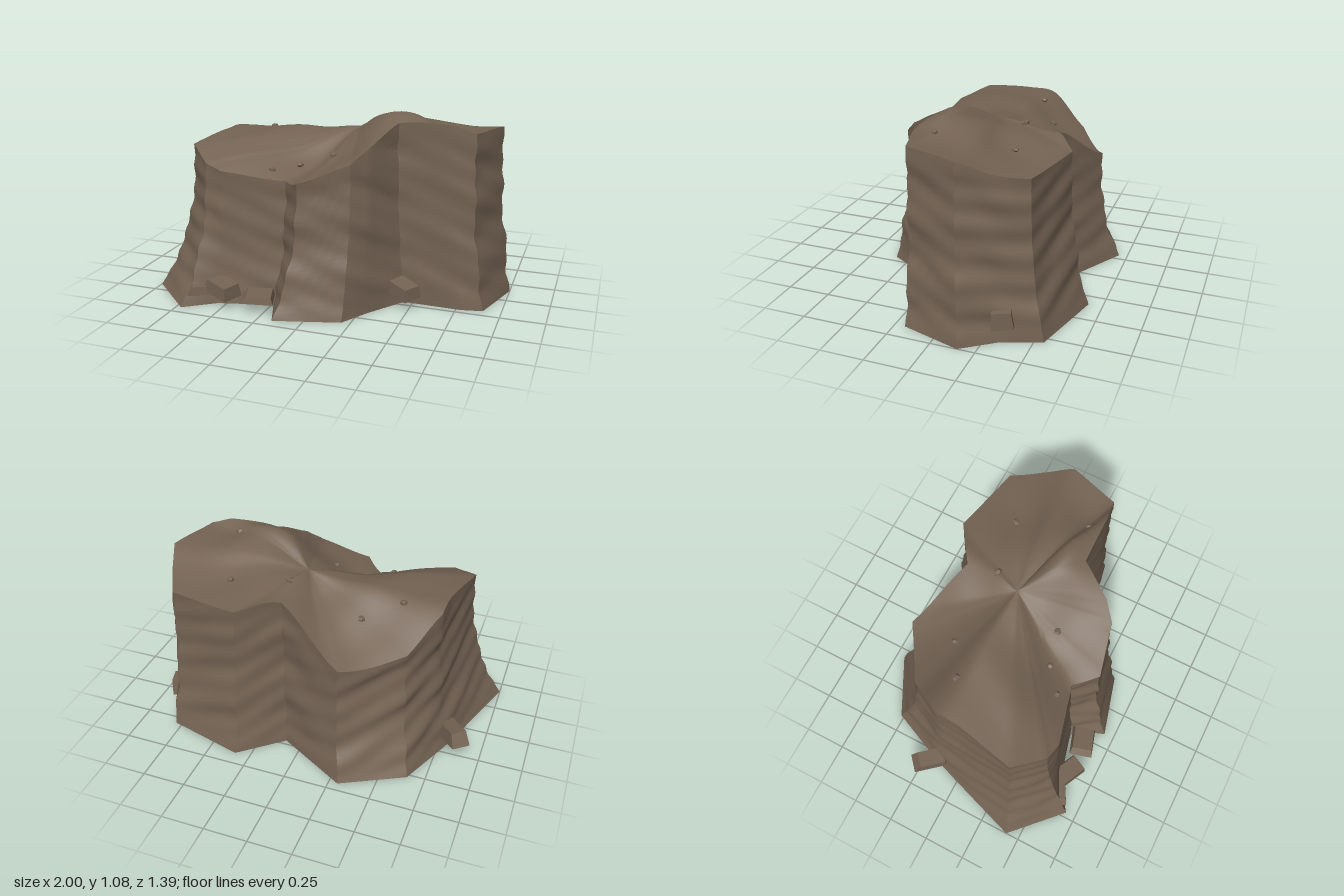
import * as THREE from 'three';
import { toCreasedNormals } from 'three/addons/utils/BufferGeometryUtils.js';

// Outline corners: base x, base z, rim x, rim z, rim height
const CORNERS = [
  [0.90, 0.19, 0.82, 0.18, 1.0], [0.78, 0.215, 0.69, 0.195, 1.04],
  [0.45, 0.21, 0.40, 0.2, 1.035], [0.30, 0.42, 0.29, 0.39, 0.93],
  [0.20, 0.59, 0.21, 0.47, 0.85], [-0.165, 0.69, -0.07, 0.54, 0.74],
  [-0.24, 0.49, -0.18, 0.42, 0.715], [-0.55, 0.57, -0.53, 0.51, 0.765],
  [-0.72, 0.69, -0.63, 0.49, 0.8], [-1.0, 0.42, -0.78, 0.34, 0.865],
  [-0.85, -0.03, -0.71, 0.0, 0.9], [-0.79, -0.2, -0.70, -0.15, 0.88],
  [-0.65, -0.52, -0.57, -0.37, 0.72], [-0.30, -0.70, -0.25, -0.575, 0.68],
  [0.10, -0.47, 0.13, -0.40, 0.92], [0.34, -0.67, 0.35, -0.55, 0.9],
  [0.79, -0.55, 0.76, -0.46, 0.89], [0.87, -0.33, 0.85, -0.29, 0.92],
  [1.0, -0.15, 0.92, -0.12, 0.99],
];
const CENTRE = [0.1, 0.95, -0.07];
const STEPS = 6;
const COLS = CORNERS.length * STEPS;
const lerp = THREE.MathUtils.lerp;

// Straight edges between corners, with a smoothly curving rim height
function outline(i) {
  const n = CORNERS.length;
  const k = Math.floor(i / STEPS), t = (i % STEPS) / STEPS;
  const at = (o) => CORNERS[(k + o + n) % n];
  const data = at(0).map((v, j) => lerp(v, at(1)[j], t));
  const [h0, h1, h2, h3] = [-1, 0, 1, 2].map((o) => at(o)[4]);
  data[4] = h1 + 0.5 * t * (h2 - h0 + t * (2 * h0 - 5 * h1 + 4 * h2 - h3
    + t * (3 * (h1 - h2) + h3 - h0)));
  return data;
}

// Irregular rock roughness
function rough(x, y, z) {
  return 0.45 * Math.sin(y * 19 + x * 4 - z * 3 + 2 * Math.sin(x * 6 + z * 7))
    + 0.35 * Math.sin(y * 43 + x * 17 - z * 13)
    + 0.6 * Math.sin(x * 12 + y * 7) * Math.sin(z * 14 - y * 9);
}

// Closed strip of rows, each a loop of COLS points
function grid(rows, point, crease) {
  const pos = [], index = [];
  for (let r = 0; r <= rows; r++) {
    for (let i = 0; i < COLS; i++) pos.push(...point(i, r / rows));
  }
  for (let r = 0; r < rows; r++) {
    for (let i = 0; i < COLS; i++) {
      const j = (i + 1) % COLS;
      const a = r * COLS + i, b = r * COLS + j, c = b + COLS, d = a + COLS;
      index.push(a, d, b);
      if (r < rows - 1 || point !== topPoint) index.push(b, d, c);
    }
  }
  const g = new THREE.BufferGeometry();
  g.setAttribute('position', new THREE.Float32BufferAttribute(pos, 3));
  g.setIndex(index);
  return toCreasedNormals(g, crease);
}

// Cliff face: flares out at the foot, steep above
function wallPoint(i, t) {
  const [bx, bz, rx, rz, h] = outline(i);
  const f = 1 - Math.pow(1 - t, 2.3);
  const x = lerp(bx, rx, f), z = lerp(bz, rz, f), y = h * t;
  const dx = x - CENTRE[0], dz = z - CENTRE[2], len = Math.hypot(dx, dz);
  const d = 0.014 * rough(x, y, z) * Math.min(1, t * 8, (1 - t) * 8);
  return [x + (dx / len) * d, y, z + (dz / len) * d];
}

// Plateau: from the rim to the centre, with a hump on the tall side and a dip in front
function topPoint(i, t) {
  const [, , rx, rz, h] = outline(i);
  const s = 1 - t;
  const x = lerp(CENTRE[0], rx, s), z = lerp(CENTRE[2], rz, s);
  const hump = 0.08 * Math.exp(-((x - 0.36) ** 2 + (z - 0.06) ** 2) / 0.06);
  const dip = 0.045 * Math.exp(-((x + 0.08) ** 2 + (z - 0.25) ** 2) / 0.06);
  const ripple = 0.008 * Math.sin(x * 14 + z * 9);
  return [x, lerp(CENTRE[1], h, s) + Math.sin(Math.PI * s) * (hump - dip + ripple), z];
}

export function createModel() {
  const group = new THREE.Group();
  const rock = new THREE.MeshStandardMaterial({ color: 0x746353, side: THREE.DoubleSide });
  rock.name = 'brown rock';
  const add = (name, geometry) => {
    const mesh = new THREE.Mesh(geometry, rock);
    mesh.name = name;
    group.add(mesh);
    return mesh;
  };

  add('cliffWall', grid(36, wallPoint, 0.5));
  const top = grid(14, topPoint, 0.7);
  add('plateau', top);

  // Tapered slabs at the foot: x, y, z, width, height, depth, turn
  const slabs = [
    [-0.83, 0.12, -0.2, 0.2, 0.08, 0.11, -0.85],
    [0.45, 0.115, 0.27, 0.2, 0.07, 0.12, -0.6],
    [-0.51, 0.115, 0.59, 0.2, 0.075, 0.12, -0.45],
    [-0.64, 0.09, 0.59, 0.16, 0.05, 0.1, 0.5],
    [-0.29, 0.09, 0.59, 0.18, 0.04, 0.14, 0.3],
    [0.86, 0.14, -0.345, 0.07, 0.1, 0.12, 0.3],
  ];
  for (const [x, y, z, w, h, d, turn] of slabs) {
    const g = new THREE.BoxGeometry(w, h, d);
    const p = g.attributes.position;
    for (let i = 0; i < p.count; i++) {
      if (p.getY(i) > 0) p.setXYZ(i, p.getX(i) * 0.75 + w * 0.06, p.getY(i), p.getZ(i) * 0.85);
    }
    g.computeVertexNormals();
    const slab = add('fallenSlab', g);
    slab.position.set(x, y, z);
    slab.rotation.set(0.08, turn, -0.08);
  }

  // Pebbles set on the nearest point of the plateau
  const pebbles = [[-0.48, -0.14], [-0.28, -0.26], [0.15, -0.22], [0.49, -0.28],
    [0.61, 0.12], [0.03, 0.22], [-0.15, 0.27], [-0.28, 0.37]];
  const pebble = new THREE.DodecahedronGeometry(0.022);
  const p = top.attributes.position;
  pebbles.forEach(([x, z], n) => {
    let best = Infinity, y = 0;
    for (let i = 0; i < p.count; i++) {
      const dist = Math.hypot(p.getX(i) - x, p.getZ(i) - z);
      if (dist < best) { best = dist; y = p.getY(i); }
    }
    const mesh = add('pebble', pebble);
    mesh.position.set(x, y + 0.004, z);
    mesh.scale.set(n === 2 ? 1.3 : 1, 0.7, 1);
    mesh.rotation.y = n * 1.3;
  });
  return group;
}
